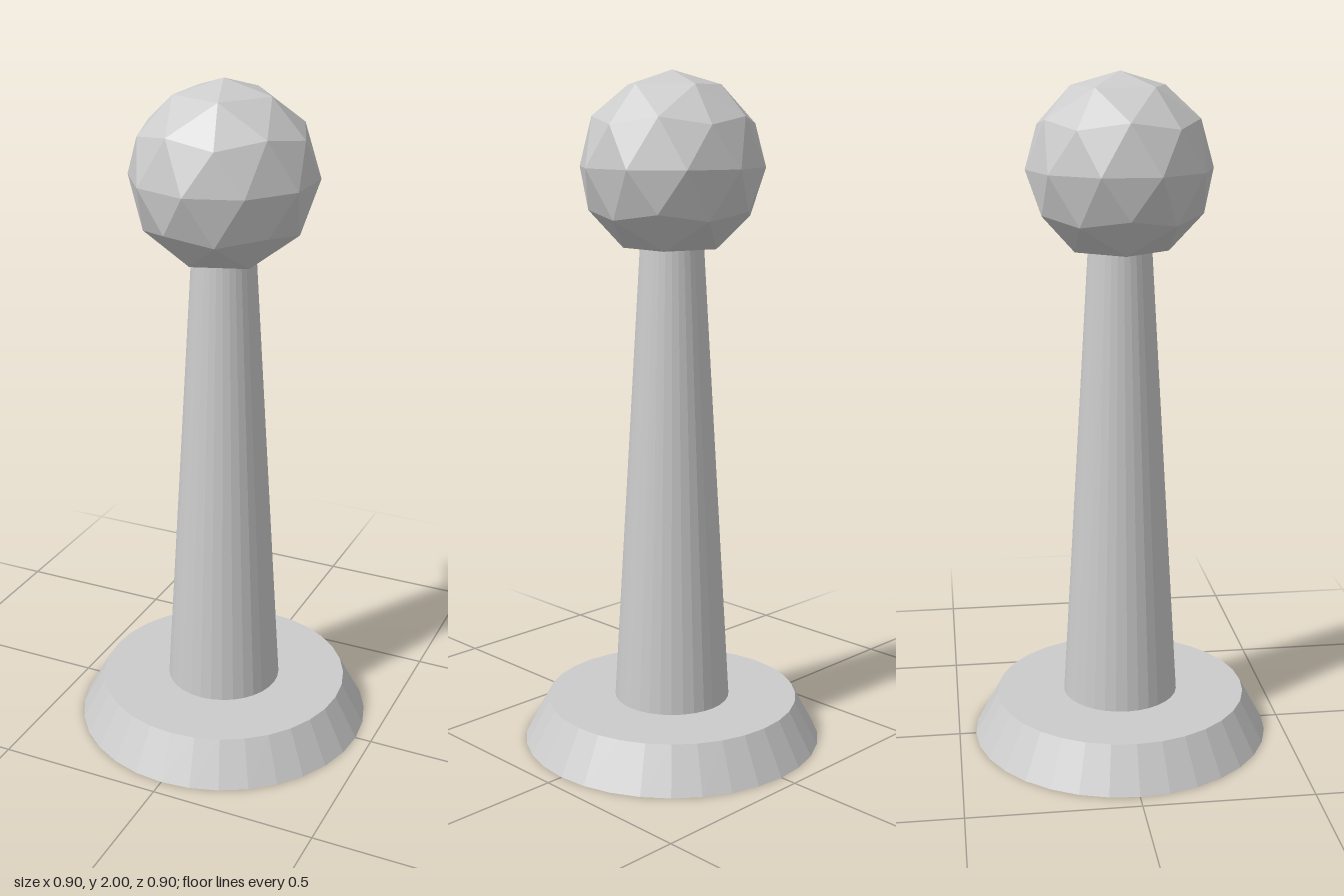
import * as THREE from 'three';

const material = new THREE.MeshStandardMaterial({ color: 0xcccccc, flatShading: true });

function addPart(group, name, geometry, y) {
  const mesh = new THREE.Mesh(geometry, material);
  mesh.name = name;
  mesh.position.y = y;
  group.add(mesh);
}

// Faceted ball standing on a corner, with its lowest corner flattened into a pentagon
function ballGeometry(radius) {
  const golden = (1 + Math.sqrt(5)) / 2;
  const geometry = new THREE.IcosahedronGeometry(radius, 1);
  geometry.rotateZ(-Math.atan(1 / golden));
  const floor = -radius * Math.cos(Math.atan(1 / golden));
  const pos = geometry.attributes.position;
  for (let i = 0; i < pos.count; i++) pos.setY(i, Math.max(pos.getY(i), floor));
  geometry.computeVertexNormals();
  return geometry;
}

export function createModel() {
  const group = new THREE.Group();
  group.name = 'ballTopPost';

  const baseHeight = 0.13, columnTop = 1.5, ballRadius = 0.27;
  const columnHeight = columnTop - baseHeight;

  // Bevelled round foot
  addPart(group, 'base', new THREE.CylinderGeometry(0.38, 0.45, baseHeight, 32), baseHeight / 2);
  // Tapered post
  addPart(group, 'column', new THREE.CylinderGeometry(0.093, 0.174, columnHeight, 32), baseHeight + columnHeight / 2);
  // Ball on top
  addPart(group, 'ball', ballGeometry(ballRadius), 2 - ballRadius);

  return group;
}
